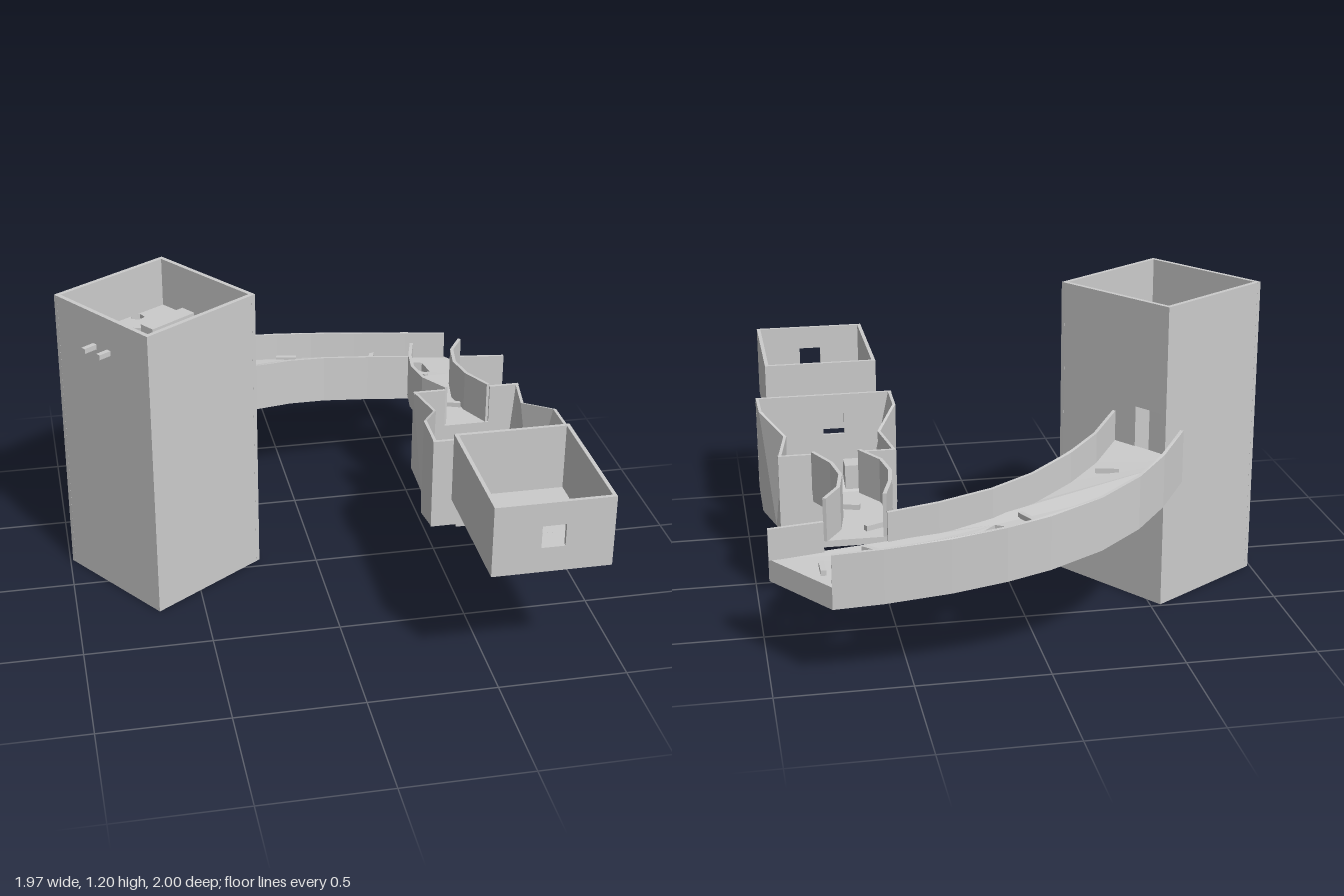
import * as THREE from 'three';

const mat = new THREE.MeshStandardMaterial({ color: 0xcccccc, flatShading: true, side: THREE.DoubleSide });
const rad = THREE.MathUtils.degToRad;
const toV = (pts) => pts.map(([x, y]) => new THREE.Vector2(x, y));

function add(parent, name, geometry) {
  const mesh = new THREE.Mesh(geometry, mat);
  mesh.name = name;
  parent.add(mesh);
  return mesh;
}

function group(parent, name) {
  const g = new THREE.Group();
  g.name = name;
  parent.add(g);
  return g;
}

// Slab from an x/z outline, between two heights that may vary over the plan
function slab(parent, name, outline, bottom, top, holes = []) {
  const shape = new THREE.Shape(toV(outline));
  holes.forEach((h) => shape.holes.push(new THREE.Path(toV(h))));
  const geo = new THREE.ExtrudeGeometry(shape, { depth: 1, bevelEnabled: false });
  geo.rotateX(Math.PI / 2);
  const p = geo.attributes.position;
  for (let i = 0; i < p.count; i++) {
    const x = p.getX(i), z = p.getZ(i);
    p.setY(i, THREE.MathUtils.lerp(bottom(x, z), top(x, z), p.getY(i) + 1));
  }
  geo.computeVertexNormals();
  return add(parent, name, geo);
}

// Thin parapet following a plan polyline, thickened to one side
function parapet(parent, name, path, thickness, bottom, top) {
  const inner = path.map(([x, z], i) => {
    const a = path[Math.max(i - 1, 0)], b = path[Math.min(i + 1, path.length - 1)];
    const dx = b[0] - a[0], dz = b[1] - a[1], l = Math.hypot(dx, dz);
    return [x - (dz / l) * thickness, z + (dx / l) * thickness];
  });
  return slab(parent, name, [...path, ...inner.reverse()], bottom, top);
}

// Upright wall from a to b, with an optional opening [u0, u1, y0, y1]
function panel(parent, name, a, b, y0, y1, thickness, hole) {
  const dx = b[0] - a[0], dz = b[1] - a[1], l = Math.hypot(dx, dz);
  const rect = (u0, u1, v0, v1) => toV([[u0, v0], [u1, v0], [u1, v1], [u0, v1]]);
  const shape = new THREE.Shape(rect(0, l, y0, y1));
  if (hole) shape.holes.push(new THREE.Path(rect(...hole)));
  const mesh = add(parent, name, new THREE.ExtrudeGeometry(shape, { depth: thickness, bevelEnabled: false }));
  mesh.position.set(a[0], 0, a[1]);
  mesh.rotation.y = -Math.atan2(dz, dx);
}

// Box given by its limits
function box(parent, name, x0, x1, y0, y1, z0, z1) {
  const mesh = add(parent, name, new THREE.BoxGeometry(x1 - x0, y1 - y0, z1 - z0));
  mesh.position.set((x0 + x1) / 2, (y0 + y1) / 2, (z0 + z1) / 2);
}

function plank(parent, x, y, z, angle, length = 0.09, width = 0.02, height = 0.02) {
  const mesh = add(parent, 'plank', new THREE.BoxGeometry(length, height, width));
  mesh.position.set(x, y, z);
  mesh.rotation.y = rad(angle);
}

const ngon = (x, z, r, start) => Array.from({ length: 5 }, (_, i) => {
  const a = rad(start + i * 72);
  return [x + r * Math.cos(a), z + r * Math.sin(a)];
});

// Hollow square tower, open at both ends, with a broken upper floor
function buildTower(root) {
  const tower = group(root, 'tower');
  const c = [[-0.68, 0.26], [-0.99, -0.19], [-0.54, -0.49], [-0.23, -0.05]];
  c.forEach((a, i) => panel(tower, 'towerWall', a, c[(i + 1) % 4], 0, 1.2, 0.018,
    i === 2 ? [0.025, 0.15, 0.6, 0.78] : null));
  slab(tower, 'brokenFloor', [
    [-0.97, -0.19], [-0.54, -0.47], [-0.25, -0.05], [-0.56, 0.16], [-0.63, 0.08], [-0.5, -0.02],
    [-0.43, -0.09], [-0.5, -0.2], [-0.59, -0.14], [-0.67, -0.2], [-0.63, -0.25], [-0.71, -0.27],
    [-0.78, -0.22], [-0.74, -0.14], [-0.78, -0.1], [-0.66, 0.04], [-0.67, 0.08], [-0.75, 0.1], [-0.83, 0.02],
  ], () => 0.98, () => 1.0, [ngon(-0.66, -0.365, 0.03, 10)]);
  plank(tower, -0.85, 1.06, 0.0, 35, 0.13);
  plank(tower, -0.8, 1.06, 0.065, 35, 0.13);
  plank(tower, -0.55, 1.02, -0.25, 35, 0.22, 0.07, 0.03);
  [[-0.94, -0.18, 30], [-0.87, -0.12, -20], [-0.4, -0.15, -50], [-0.3, -0.07, 65]]
    .forEach(([x, z, a]) => plank(tower, x, 1.01, z, a, 0.06));
}

// Curved bridge sloping down away from the tower
function buildBridge(root) {
  const bridge = group(root, 'curvedBridge');
  const rim = (x, z) => {
    const t = (0.82 * x - 0.57 * z + 0.165) / 1.365;
    return 0.74 - 0.34 * t + 0.12 * t * t;
  };
  const deck = (x, z) => rim(x, z) - 0.12;
  const under = (x, z) => deck(x, z) - 0.085;
  const outer = [[-0.59, -0.56], [-0.48, -0.7], [-0.36, -0.81], [-0.2, -0.9], [0, -0.96],
    [0.16, -0.985], [0.36, -1], [0.6, -1], [0.78, -0.99]];
  const inner = [[0.55, -0.7], [0.36, -0.69], [0.16, -0.66], [0, -0.605], [-0.16, -0.51],
    [-0.28, -0.41], [-0.39, -0.27]];
  slab(bridge, 'bridgeDeck', [...outer, [0.98, -0.7], ...inner], under, deck,
    [ngon(-0.22, -0.745, 0.065, 50), ngon(0.16, -0.78, 0.065, 20), ngon(0.6, -0.86, 0.085, 30)]);
  parapet(bridge, 'outerParapet', outer, 0.014, deck, rim);
  parapet(bridge, 'innerParapet', inner, 0.014, deck, rim);
  parapet(bridge, 'innerParapetEnd', [[0.98, -0.7], [0.78, -0.7]], 0.014, deck, rim);
  [[-0.48, -0.61, 90], [-0.31, -0.72, 15], [-0.24, -0.83, 50], [-0.31, -0.51, -15], [0.04, -0.73, -65],
    [0.04, -0.93, -10], [0.43, -0.945, 70], [0.8, -0.85, 90], [0.61, -0.77, -45]]
    .forEach(([x, z, a]) => plank(bridge, x, deck(x, z) + 0.01, z, a));
}

// Short bowed passage from the bridge to the middle room
function buildPassage(root) {
  const passage = group(root, 'passage');
  const left = [[0.55, -0.7], [0.515, -0.58], [0.5, -0.47], [0.52, -0.35], [0.59, -0.235]];
  const right = [[0.78, -0.7], [0.72, -0.6], [0.7, -0.48], [0.72, -0.36], [0.78, -0.235]];
  const deck = () => 0.455, rim = (x, z) => 0.63 + (z + 0.23) * 0.02;
  slab(passage, 'passageDeck', [...left, ...[...right].reverse()], () => 0.43, deck);
  parapet(passage, 'passageWall', left, -0.014, deck, rim);
  parapet(passage, 'passageWall', right, 0.014, deck, rim);
  plank(passage, 0.58, 0.465, -0.61, 25);
  plank(passage, 0.66, 0.465, -0.4, -20);
}

// Middle room: pinched trough lofted along z, closed by front and back walls
function buildMiddleRoom(root) {
  const room = group(root, 'middleRoom');
  const cx = 0.68;
  // z, base half-width, top half-width, bottom, top
  const stations = [
    [-0.24, 0.225, 0.225, 0.26, 0.62], [-0.04, 0.23, 0.19, 0.26, 0.63],
    [0.13, 0.272, 0.272, 0.26, 0.68], [0.305, 0.275, 0.275, 0.3, 0.68],
  ];
  const pos = [], index = [], n = 8;
  stations.forEach(([z, b, t, y0, y1]) => {
    const half = [[b, y0], [t, y1], [t - 0.012, y1], [0.185, y0 + 0.02]];
    const loop = [...half, ...half.map(([x, y]) => [-x, y]).reverse()];
    loop.forEach(([x, y]) => pos.push(cx + x, y, z));
  });
  for (let s = 0; s < stations.length - 1; s++) {
    for (let i = 0; i < n; i++) {
      const a = s * n + i, b = s * n + (i + 1) % n;
      index.push(a, b, b + n, a, b + n, a + n);
    }
  }
  const geo = new THREE.BufferGeometry();
  geo.setAttribute('position', new THREE.Float32BufferAttribute(pos, 3));
  geo.setIndex(index);
  const flat = geo.toNonIndexed();
  flat.computeVertexNormals();
  add(room, 'pinchedWalls', flat);
  panel(room, 'frontWall', [0.955, 0.31], [0.403, 0.31], 0.3, 0.68, 0.014, [0.27, 0.355, 0.51, 0.6]);
  box(room, 'backWallSide', 0.455, 0.59, 0.26, 0.62, -0.24, -0.226);
  box(room, 'backWallSide', 0.78, 0.905, 0.26, 0.62, -0.24, -0.226);
  box(room, 'backWallSill', 0.59, 0.78, 0.26, 0.455, -0.24, -0.226);
  box(room, 'crate', 0.51, 0.61, 0.28, 0.4, 0.21, 0.297);
  box(room, 'crate', 0.74, 0.83, 0.28, 0.4, 0.21, 0.297);
  box(room, 'post', 0.82, 0.853, 0.28, 0.36, -0.1, -0.068);
}

// Open-topped front room with a window and a ramp below it
function buildFrontRoom(root) {
  const room = group(root, 'frontRoom');
  const c = [[0.905, 0.995], [0.45, 0.995], [0.45, 0.43], [0.905, 0.43]];
  c.forEach((a, i) => panel(room, 'roomWall', a, c[(i + 1) % 4], 0.488, 0.775, 0.015,
    i === 0 ? [0.183, 0.273, 0.59, 0.68] : null));
  box(room, 'roomFloor', 0.452, 0.903, 0.488, 0.505, 0.432, 0.993);
  slab(room, 'windowRamp', [[0.632, 0.77], [0.722, 0.77], [0.722, 0.89], [0.632, 0.89]],
    () => 0.482, (x, z) => 0.505 + (z - 0.77) * 0.67);
  box(room, 'windowStep', 0.632, 0.722, 0.488, 0.585, 0.89, 0.98);
}

export function createModel() {
  const root = new THREE.Group();
  root.name = 'ruinedTowerAndBridge';
  [buildTower, buildBridge, buildPassage, buildMiddleRoom, buildFrontRoom].forEach((build) => build(root));
  return root;
}
